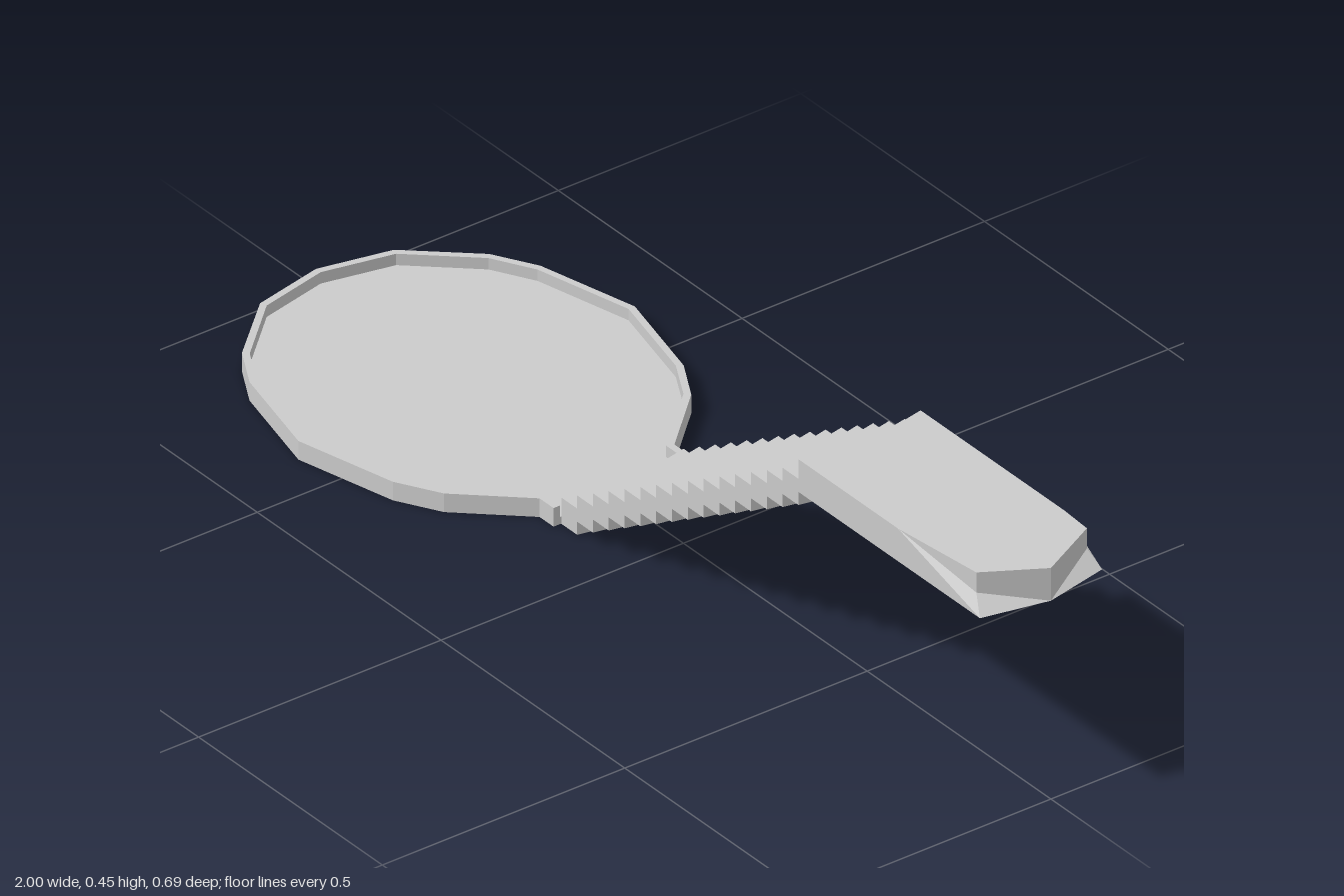
import * as THREE from 'three';

const material = new THREE.MeshStandardMaterial({ color: 0xcccccc, flatShading: true, side: THREE.DoubleSide });
const HALF = 0.126;        // half width of the stairs
const POINT = 0.026;       // depth of the chevron point
const STEPS = 15, RUN = 0.043, RISE = 0.0254;
const X0 = -0.166, Y0 = 0.0027;

const mirrored = (pts) => [...pts, ...pts.filter(([, z]) => z !== 0).reverse().map(([x, z]) => [x, -z])];

// Flat plan outline [x, z] raised from y to y + height
function slab(name, outline, y, height) {
  const shape = new THREE.Shape(outline.map(([x, z]) => new THREE.Vector2(x, -z)));
  const geo = new THREE.ExtrudeGeometry(shape, { depth: height, bevelEnabled: false });
  geo.rotateX(-Math.PI / 2).translate(0, y, 0);
  const mesh = new THREE.Mesh(geo, material);
  mesh.name = name;
  return mesh;
}

// Faceted upper landing: one half described, the other mirrored
function landing() {
  const top = 0.447, low = Y0 + STEPS * RISE, x = X0 + STEPS * RUN;
  const pos = [];
  for (const s of [1, -1]) {
    const cutX = s > 0 ? 0.75 : 0.87, cutZ = s > 0 ? 0.106 : 0.122;
    const p = {
      notchTop: [x + POINT, top, 0], notchLow: [x + POINT, low, 0],
      startTop: [x, top, HALF], startLow: [x, low, HALF],
      cut: [cutX, top, HALF], edgeTop: [0.937, top, cutZ], edgeMid: [0.937, 0.408, cutZ],
      corner: [0.973, low, HALF], tipTop: [1, top, 0], tipLow: [1, low, 0],
    };
    const faces = [
      ['notchTop', 'startTop', 'cut', 'edgeTop', 'tipTop'],
      ['notchLow', 'tipLow', 'corner', 'startLow'],
      ['notchTop', 'notchLow', 'startLow', 'startTop'],
      ['startLow', 'corner', 'cut', 'startTop'],
      ['cut', 'corner', 'edgeMid', 'edgeTop'],
      ['edgeTop', 'edgeMid', 'tipTop'],
      ['edgeMid', 'corner', 'tipLow', 'tipTop'],
    ];
    for (const f of faces) {
      for (let i = 1; i < f.length - 1; i++) {
        const tri = s > 0 ? [f[0], f[i], f[i + 1]] : [f[0], f[i + 1], f[i]];
        for (const k of tri) pos.push(p[k][0], p[k][1], p[k][2] * s);
      }
    }
  }
  const geo = new THREE.BufferGeometry();
  geo.setAttribute('position', new THREE.Float32BufferAttribute(pos, 3));
  geo.computeVertexNormals();
  const mesh = new THREE.Mesh(geo, material);
  mesh.name = 'upperLanding';
  return mesh;
}

export function createModel() {
  const group = new THREE.Group();
  group.name = 'staircase';

  // Round lower platform with a raised rim, open towards the stairs
  const cx = -0.59;
  const arc = [[-1, 0], [-0.97, 0.138], [-0.865, 0.255], [-0.785, 0.3], [cx, 0.347],
    [-0.395, 0.3], [-0.315, 0.255], [-0.208, 0.139]];
  const inner = arc.map(([x, z]) => {
    const k = 1 - 0.013 / Math.hypot(x - cx, z);
    return [cx + (x - cx) * k, z * k];
  });
  inner[inner.length - 1] = [-0.213, HALF];
  const outerHalf = [...arc, [-0.17, 0.139]];
  const innerHalf = [...inner, [-0.17, HALF]];
  const platform = new THREE.Group();
  platform.name = 'lowerPlatform';
  platform.add(slab('platformFloor', mirrored([...innerHalf, [X0 + POINT, 0]]), 0, 0.014));
  for (const s of [1, -1]) {
    const ring = [...outerHalf, ...[...innerHalf].reverse()].map(([x, z]) => [x, z * s]);
    platform.add(slab('platformRim', s > 0 ? ring : ring.reverse(), 0, 0.036));
  }
  group.add(platform);

  // Chevron steps
  const steps = new THREE.Group();
  steps.name = 'steps';
  for (let i = 0; i < STEPS; i++) {
    const x = X0 + i * RUN;
    const outline = mirrored([[x + POINT, 0], [x, HALF], [x + RUN, HALF], [x + RUN + POINT, 0]]);
    steps.add(slab('step', outline, Y0 + i * RISE, RISE * 2));
  }
  group.add(steps);

  group.add(landing());
  return group;
}
